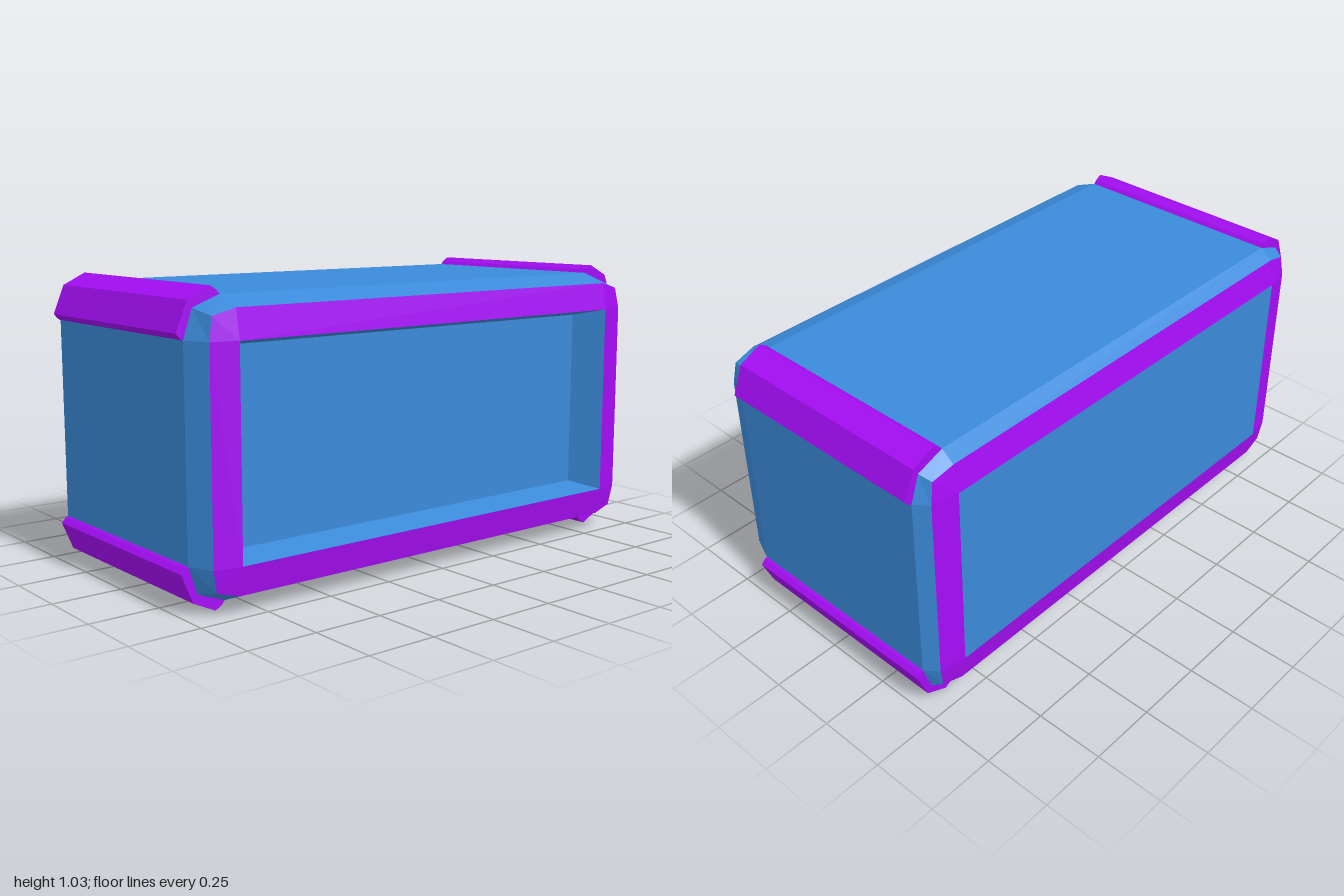
import * as THREE from 'three';

const MID_Y = 0.515;
const blue = new THREE.MeshStandardMaterial({ color: 0x3b8ad9, flatShading: true });
const purple = new THREE.MeshStandardMaterial({ color: 0xa50df5, flatShading: true });

// Mirrors one corner (side, middle, top points as [x, y, z]) into a closed 12-point ring
function ring(corner) {
  const flipped = [...corner].reverse();
  const quarter = (pts, sx, sy) => pts.map(([x, y, z]) => new THREE.Vector3(x * sx, MID_Y + y * sy, z));
  return [
    ...quarter(corner, 1, 1), ...quarter(flipped, -1, 1),
    ...quarter(corner, -1, -1), ...quarter(flipped, 1, -1),
  ];
}

// Ring whose three corner points coincide: a plain rectangle
const rect = (x, y, z) => ring([[x, y, z], [x, y, z], [x, y, z]]);

// Joins successive rings (ordered back to front) with flat faces
function loft(name, material, rings) {
  const points = [];
  const triangle = (a, b, c) => {
    if (new THREE.Triangle(a, b, c).getArea() > 1e-7) points.push(a, b, c);
  };
  for (let r = 0; r < rings.length - 1; r++) {
    const back = rings[r], front = rings[r + 1];
    back.forEach((a, i) => {
      const j = (i + 1) % back.length;
      triangle(a, back[j], front[j]);
      triangle(a, front[j], front[i]);
    });
  }
  const geometry = new THREE.BufferGeometry().setFromPoints(points);
  geometry.computeVertexNormals();
  const mesh = new THREE.Mesh(geometry, material);
  mesh.name = name;
  return mesh;
}

export function createModel() {
  const model = new THREE.Group();
  model.name = 'crate';

  // Cross-sections of the shell and the framed ends
  const shell = (z) => ring([[0.973, 0.353, z], [0.94, 0.45, z], [0.84, 0.487, z]]);
  const rim = (s) => ring([[0.937, 0.353, 0.477 * s], [0.922, 0.43, 0.47 * s], [0.84, 0.452, 0.477 * s]]);
  const opening = (s) => rect(0.84, 0.352, 0.495 * s);

  model.add(
    loft('shell', blue, [rim(-1), shell(-0.43), shell(0.387), rim(1)]),
    loft('frontFrame', purple, [rim(1), opening(1)]),
    loft('backFrame', purple, [opening(-1), rim(-1)]),
    loft('frontRecess', blue, [opening(1), rect(0.778, 0.328, 0.385), rect(0, 0, 0.385)]),
    loft('backPanel', blue, [rect(0, 0, -0.495), opening(-1)]),
  );

  // Guards wrapped around the four long edges
  const profile = [
    [0.973, 0.353], [0.982, 0.357], [0.998, 0.375], [0.957, 0.475],
    [0.875, 0.515], [0.85, 0.5], [0.84, 0.487], [0.94, 0.45],
  ];
  for (const sx of [1, -1]) {
    for (const sy of [1, -1]) {
      const shape = new THREE.Shape(profile.map(([x, y]) => new THREE.Vector2(x * sx, y * sy)));
      const geometry = new THREE.ExtrudeGeometry(shape, { depth: 0.817, bevelEnabled: false });
      const guard = new THREE.Mesh(geometry, purple);
      guard.name = `${sy > 0 ? 'top' : 'bottom'}${sx > 0 ? 'Left' : 'Right'}EdgeGuard`;
      guard.position.set(0, MID_Y, -0.43);
      model.add(guard);
    }
  }
  return model;
}
